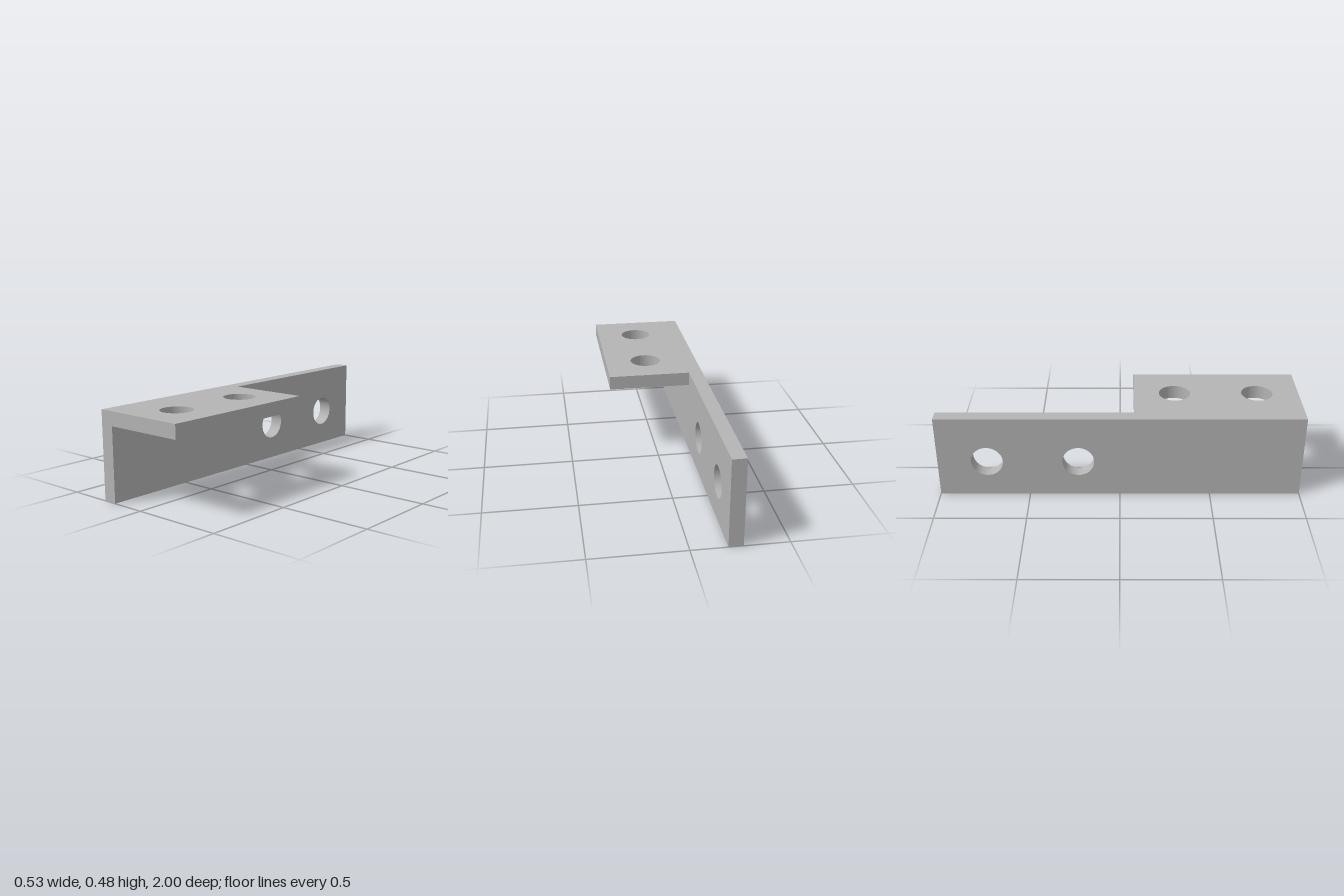
import * as THREE from 'three';

const THICK = 0.076;
const HOLE_RADIUS = 0.087;

// Rectangular plate in the shape plane with round through-holes
function drilledPlate(u0, u1, v0, v1, holes) {
  const shape = new THREE.Shape([
    new THREE.Vector2(u0, v0), new THREE.Vector2(u1, v0),
    new THREE.Vector2(u1, v1), new THREE.Vector2(u0, v1),
  ]);
  for (const [u, v] of holes) {
    shape.holes.push(new THREE.Path().absarc(u, v, HOLE_RADIUS, 0, Math.PI * 2, true));
  }
  return new THREE.ExtrudeGeometry(shape, { depth: THICK, bevelEnabled: false, curveSegments: 64 });
}

export function createModel() {
  const model = new THREE.Group();
  model.name = 'angleBracket';
  const steel = new THREE.MeshStandardMaterial({ color: 0xb4b4b4 });
  steel.name = 'grey steel';

  // Long upright plate, outlined in z and y, drilled through x
  const wall = drilledPlate(-1, 1, 0, 0.477, [[-0.228, 0.211], [-0.728, 0.211]]);
  wall.rotateY(-Math.PI / 2).translate(-0.265 + THICK, 0, 0);
  const uprightPlate = new THREE.Mesh(wall, steel);
  uprightPlate.name = 'uprightPlate';

  // Short horizontal flange, outlined in x and z, drilled through y
  const shelf = drilledPlate(-0.265 + THICK, 0.265, 0.077, 1, [[0.032, 0.305], [0.032, 0.767]]);
  shelf.rotateX(Math.PI / 2).translate(0, 0.477, 0);
  const topFlange = new THREE.Mesh(shelf, steel);
  topFlange.name = 'topFlange';

  model.add(uprightPlate, topFlange);
  return model;
}
